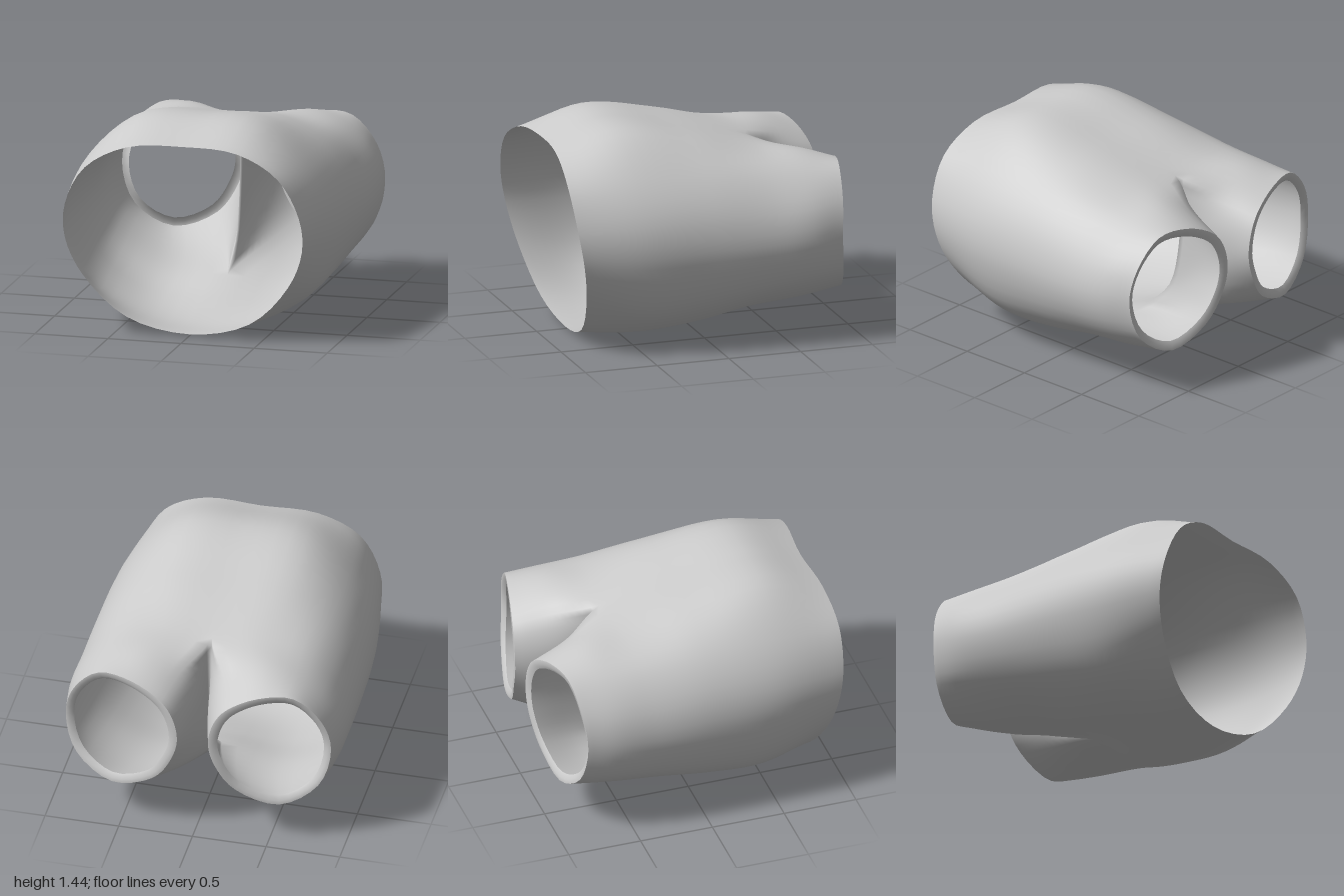
import * as THREE from 'three';
import { mergeVertices } from 'three/addons/utils/BufferGeometryUtils.js';

const SUB = 4;   // samples between neighbouring section points
const ROWS = 6;  // rows between neighbouring sections
const vec = (p) => new THREE.Vector3(...p);

// Half sections, from top centre round the outer side to bottom centre
const torso = [
  [[0, 1.33, 0.95], [0.38, 1.31, 0.98], [0.66, 1.16, 1], [0.8, 0.9, 0.98],
    [0.81, 0.66, 0.94], [0.7, 0.4, 0.89], [0.42, 0.12, 0.83], [0, 0.02, 0.8]],
  [[0, 1.445, 0.55], [0.4, 1.425, 0.55], [0.7, 1.2, 0.54], [0.87, 0.92, 0.52],
    [0.89, 0.63, 0.5], [0.75, 0.28, 0.47], [0.42, 0.07, 0.45], [0, 0.01, 0.45]],
  [[0, 1.36, 0.05], [0.4, 1.35, 0.05], [0.7, 1.19, 0.05], [0.88, 0.94, 0.05],
    [0.92, 0.65, 0.05], [0.79, 0.32, 0.05], [0.45, 0.11, 0.06], [0, 0.1, 0.1]],
  [[0, 1.23, -0.45], [0.35, 1.25, -0.41], [0.67, 1.17, -0.38], [0.88, 0.93, -0.35],
    [0.93, 0.66, -0.32], [0.81, 0.37, -0.3], [0.45, 0.18, -0.27], [0, 0.19, -0.17]],
];
// Web between the legs, from bottom centre back up to top centre
const seam = [[0, 0.19, -0.17], [0, 0.42, -0.4], [0, 0.73, -0.48], [0, 1, -0.49], [0, 1.23, -0.45]];
// Closed leg sections: same order, followed by the inner side
const legs = [
  [[0.15, 1.12, -0.73], [0.4, 1.22, -0.69], [0.68, 1.15, -0.66], [0.88, 0.94, -0.63],
    [0.93, 0.69, -0.62], [0.83, 0.42, -0.62], [0.5, 0.235, -0.64], [0.15, 0.31, -0.65],
    [0.055, 0.53, -0.69], [0.035, 0.76, -0.71], [0.06, 0.96, -0.73]],
  [[0.22, 1.05, -0.98], [0.43, 1.15, -0.935], [0.66, 1.15, -0.885], [0.84, 0.97, -0.85],
    [0.9, 0.74, -0.83], [0.82, 0.46, -0.86], [0.57, 0.305, -0.92], [0.28, 0.41, -0.965],
    [0.15, 0.6, -0.995], [0.105, 0.77, -1], [0.14, 0.94, -0.995]],
];

// Evenly stepped samples that pass through every given point
function sample(points, steps, closed = false) {
  const curve = new THREE.CatmullRomCurve3(points, closed);
  const n = (closed ? points.length : points.length - 1) * steps;
  return Array.from({ length: closed ? n : n + 1 }, (_, i) => curve.getPoint(i / n));
}

// Smooth a half section together with its mirror image and keep the half
function torsoArc(points) {
  const mirrored = points.slice(1, -1).reverse().map(([x, y, z]) => [-x, y, z]);
  return sample([...points, ...mirrored].map(vec), SUB, true).slice(0, 7 * SUB + 1);
}

// Add the quads of a patch given as columns of points, mirrored to both sides
function addPatch(out, columns) {
  const put = (side, ...corners) => corners.forEach((p) =>
    out.push(side * Math.max(0, p.x), p.y, p.z));
  for (let i = 0; i + 1 < columns.length; i++) {
    for (let j = 0; j + 1 < columns[i].length; j++) {
      const a = columns[i][j], b = columns[i + 1][j];
      const c = columns[i + 1][j + 1], d = columns[i][j + 1];
      put(1, a, b, c, a, c, d);
      put(-1, a, c, b, a, d, c);
    }
  }
}

function shell(name, positions, material) {
  let geometry = new THREE.BufferGeometry();
  geometry.setAttribute('position', new THREE.Float32BufferAttribute(positions, 3));
  geometry = mergeVertices(geometry, 1e-4);
  geometry.computeVertexNormals();
  const mesh = new THREE.Mesh(geometry, material);
  mesh.name = name;
  return mesh;
}

export function createModel() {
  const group = new THREE.Group();
  group.name = 'shorts';
  const material = new THREE.MeshStandardMaterial({ color: 0xcccccc, side: THREE.DoubleSide });

  const arcs = torso.map(torsoArc);
  const loops = legs.map((l) => sample(l.map(vec), SUB, true));
  const web = sample(seam.map(vec), SUB);
  const last = 7 * SUB;

  // Outer side, running from the waist to the leg ends
  const outer = arcs[0].map((_, k) =>
    sample([...arcs.map((a) => a[k]), ...loops.map((l) => l[k])], ROWS));

  // Inner side of the legs, from the web to the leg ends
  const crotchRow = (torso.length - 1) * ROWS;
  const inner = [outer[last].slice(crotchRow)];
  for (let k = 1; k < web.length - 1; k++) {
    inner.push(sample([web[k], ...loops.map((l) => l[last + k])], ROWS));
  }
  inner.push(outer[0].slice(crotchRow));

  const fabric = [];
  addPatch(fabric, outer);
  addPatch(fabric, inner);
  group.add(shell('waistAndLegs', fabric, material));

  // Hems folded inward at the leg ends
  const centre = new THREE.Vector3(0.53, 0.74, -0.92);
  const end = loops[1];
  const hemColumns = [...end, end[0]].map((p) => {
    const ring = (scale, depth) => {
      const q = p.clone().sub(centre).multiplyScalar(scale).add(centre);
      q.z = p.z + depth;
      return q;
    };
    return [p, ring(0.93, 0), ring(0.86, 0.02)];
  });
  const hem = [];
  addPatch(hem, hemColumns);
  group.add(shell('legHems', hem, material));
  return group;
}
